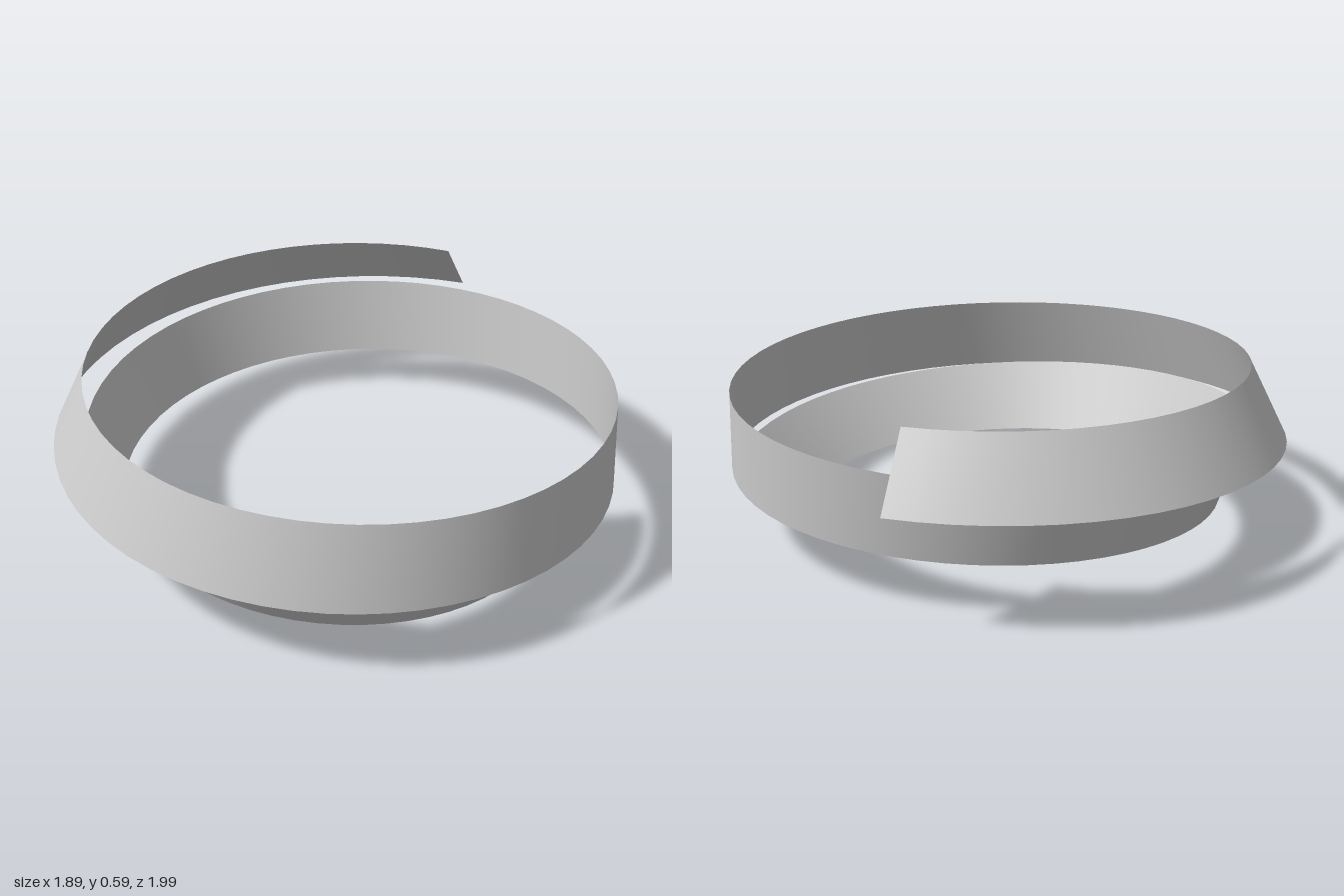
import * as THREE from 'three';

const TURNS = 1.795;   // length of the coil in full turns
const SEGMENTS = 116;
const WIDTH = 0.276;   // width of the band

// Points of the band's lower and upper edge after t turns
function bandSection(t) {
  const lean = THREE.MathUtils.degToRad(45 - 47.5 * t); // leans outward first, inward at the end
  const mid = 0.78 + 0.1036 * t;
  const low = 0.002 + 0.213 * t;
  const half = WIDTH / 2 * Math.sin(lean);
  const a = t * Math.PI * 2;
  const point = (r, y) => [0.048 + r * Math.cos(a), y, 0.048 + r * Math.sin(a)];
  return [point(mid - half, low), point(mid + half, low + WIDTH * Math.cos(lean))];
}

export function createModel() {
  const group = new THREE.Group();
  group.name = 'twistedCoil';

  // Rising ribbon lofted through its cross-sections
  const positions = [], index = [];
  for (let i = 0; i <= SEGMENTS; i++) {
    const [lower, upper] = bandSection(TURNS * i / SEGMENTS);
    positions.push(...lower, ...upper);
    if (i < SEGMENTS) {
      const k = i * 2;
      index.push(k, k + 1, k + 2, k + 1, k + 3, k + 2);
    }
  }
  const geometry = new THREE.BufferGeometry();
  geometry.setAttribute('position', new THREE.Float32BufferAttribute(positions, 3));
  geometry.setIndex(index);
  geometry.computeVertexNormals();

  const band = new THREE.Mesh(geometry,
    new THREE.MeshStandardMaterial({ color: 0xcccccc, side: THREE.DoubleSide }));
  band.name = 'spiralBand';
  group.add(band);
  return group;
}
